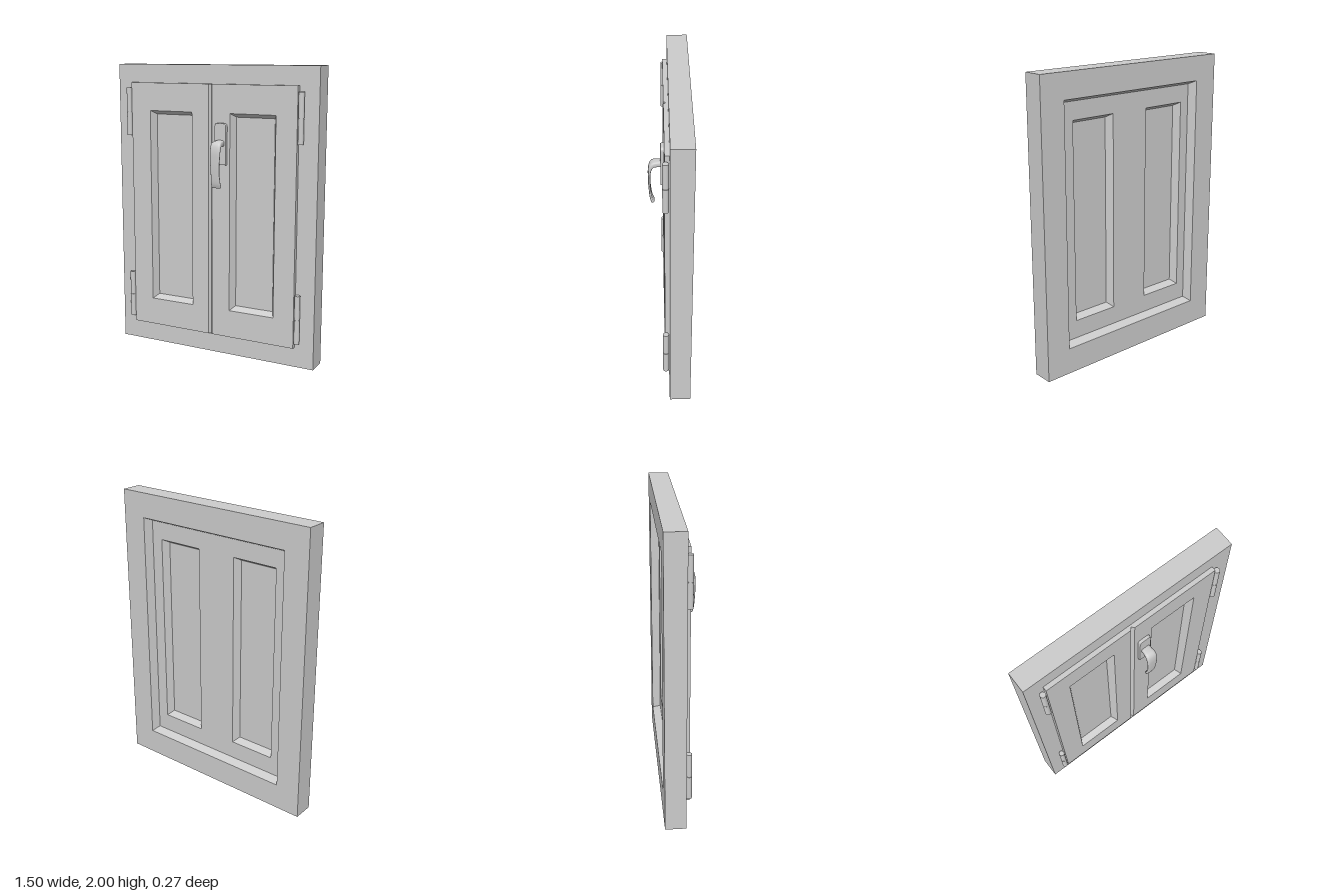
import * as THREE from 'three';

const material = new THREE.MeshStandardMaterial({ color: 0xcccccc });

function addMesh(parent, name, geometry, x = 0, y = 0, z = 0) {
  const mesh = new THREE.Mesh(geometry, material);
  mesh.name = name;
  mesh.position.set(x, y, z);
  parent.add(mesh);
  return mesh;
}

// Closed ring of flat faces through a loop of rectangles [x0, x1, y0, y1, z]
function rectRing(rects) {
  const corners = rects.map(([x0, x1, y0, y1, z]) => [[x0, y0, z], [x1, y0, z], [x1, y1, z], [x0, y1, z]]);
  const positions = [];
  corners.forEach((ring, i) => {
    const next = corners[(i + 1) % corners.length];
    for (let j = 0; j < 4; j++) {
      const k = (j + 1) % 4;
      positions.push(...ring[j], ...next[j], ...ring[k], ...ring[k], ...next[j], ...next[k]);
    }
  });
  const geometry = new THREE.BufferGeometry();
  geometry.setAttribute('position', new THREE.Float32BufferAttribute(positions, 3));
  geometry.computeVertexNormals();
  return geometry;
}

// Curved lever: rounded section swept along a path in the yz plane
function leverGeometry() {
  // y, z, half width, half thickness
  const stations = [
    [1.487, 0.035, 0.03, 0.022], [1.487, 0.075, 0.032, 0.021], [1.482, 0.104, 0.036, 0.018],
    [1.45, 0.121, 0.037, 0.012], [1.38, 0.127, 0.035, 0.008], [1.29, 0.123, 0.032, 0.008],
    [1.225, 0.114, 0.033, 0.01], [1.199, 0.104, 0.034, 0.011],
  ];
  const path = new THREE.CatmullRomCurve3(stations.map(([y, z]) => new THREE.Vector3(0, y, z)));
  const size = new THREE.CatmullRomCurve3(stations.map(([, , w, t]) => new THREE.Vector3(w, t, 0)));
  const steps = 32, sides = 20, positions = [], index = [];
  const rings = [[0, 0]];
  for (let i = 0; i <= steps; i++) rings.push([i / steps, 1]);
  rings.push([1, 0.8], [1, 0]);
  const round = (v) => Math.sign(v) * Math.pow(Math.abs(v), 0.6);
  for (const [u, scale] of rings) {
    const c = path.getPoint(u), s = size.getPoint(u);
    const d = path.getPoint(Math.min(1, u + 0.01)).sub(path.getPoint(Math.max(0, u - 0.01))).normalize();
    const push = u === 1 ? (1 - scale) * 0.006 : 0;
    for (let j = 0; j < sides; j++) {
      const a = (j / sides) * Math.PI * 2;
      const px = round(Math.cos(a)) * s.x * scale, pn = round(Math.sin(a)) * s.y * scale;
      positions.push(px, c.y + d.z * pn + d.y * push, c.z - d.y * pn + d.z * push);
    }
  }
  for (let i = 0; i < rings.length - 1; i++) {
    for (let j = 0; j < sides; j++) {
      const k = (j + 1) % sides;
      const a = i * sides + j, b = i * sides + k;
      index.push(a, b, a + sides, b, b + sides, a + sides);
    }
  }
  const geometry = new THREE.BufferGeometry();
  geometry.setAttribute('position', new THREE.Float32BufferAttribute(positions, 3));
  geometry.setIndex(index);
  geometry.computeVertexNormals();
  return geometry;
}

// Back plate with rounded top corners
function plateGeometry() {
  const w = 0.041, y0 = 1.345, y1 = 1.618, r = 0.022;
  const shape = new THREE.Shape();
  shape.moveTo(-w, y0);
  shape.lineTo(w, y0);
  shape.lineTo(w, y1 - r);
  shape.quadraticCurveTo(w, y1, w - r, y1);
  shape.lineTo(-w + r, y1);
  shape.quadraticCurveTo(-w, y1, -w, y1 - r);
  shape.closePath();
  return new THREE.ExtrudeGeometry(shape, {
    depth: 0.016, bevelEnabled: true, bevelThickness: 0.005, bevelSize: 0.005, bevelOffset: -0.003, bevelSegments: 2,
  });
}

export function createModel() {
  const model = new THREE.Group();
  model.name = 'doubleWindow';
  const back = -0.137, face = 0.003, sashBack = -0.08, sashFront = 0.033;

  // Fixed frame, with its opening splayed towards the back
  addMesh(model, 'frame', rectRing([
    [-0.75, 0.75, 0, 2, face],
    [-0.75, 0.75, 0, 2, back],
    [-0.575, 0.575, 0.18, 1.83, back],
    [-0.55, 0.55, 0.205, 1.805, sashBack],
    [-0.55, 0.55, 0.205, 1.805, face],
  ]));

  // Two sashes with recessed panels, meeting in a V groove
  const mid = -0.009, groove = 0.014, y0 = 0.138, y1 = 1.875;
  for (const side of [-1, 1]) {
    const sash = new THREE.Group();
    sash.name = side < 0 ? 'rightSash' : 'leftSash';
    model.add(sash);
    const outer = side < 0 ? -0.63 : 0.615;
    const rect = (inner, z) => [Math.min(inner, outer), Math.max(inner, outer), y0, y1, z];
    const px0 = side < 0 ? -0.48 : 0.138, px1 = px0 + 0.33;
    const hole = (inset, z) => [px0 + inset, px1 - inset, 0.33 + inset, 1.685 - inset, z];
    addMesh(sash, 'sashFrame', rectRing([
      rect(mid + side * groove, sashFront),
      rect(mid, 0.016),
      rect(mid, sashBack),
      hole(0, sashBack),
      hole(0.026, -0.03),
      hole(0.026, -0.016),
      hole(0, sashFront),
    ]));
    addMesh(sash, 'panel', new THREE.BoxGeometry(0.29, 1.315, 0.014), (px0 + px1) / 2, 1.0075, -0.023);

    // Hinges, each of two stacked knuckles
    const hingeX = side < 0 ? -0.654 : 0.638;
    for (const base of [0.176, 1.506]) {
      for (const k of [0, 1]) {
        addMesh(sash, 'hingeKnuckle', new THREE.CylinderGeometry(0.019, 0.019, 0.164, 20),
          hingeX, base + 0.082 + k * 0.168, 0.027);
      }
      addMesh(sash, 'hingePin', new THREE.CylinderGeometry(0.015, 0.015, 0.32, 16), hingeX, base + 0.166, 0.027);
    }
  }

  // Handle
  const handle = new THREE.Group();
  handle.name = 'handle';
  handle.position.x = 0.076;
  model.add(handle);
  addMesh(handle, 'handlePlate', plateGeometry(), 0, 0, 0.033);
  addMesh(handle, 'handleLever', leverGeometry());

  return model;
}
